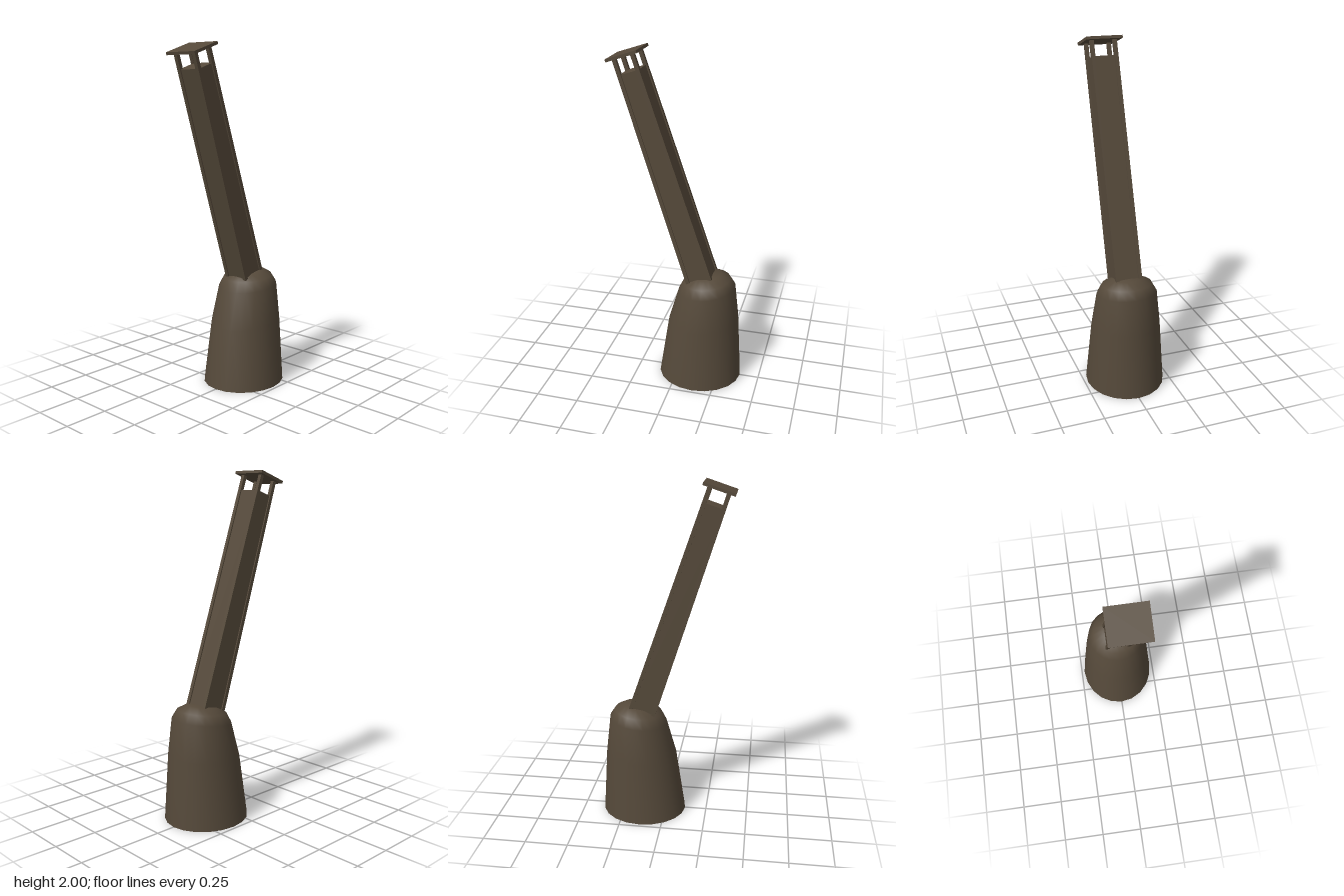
import * as THREE from 'three';
import { mergeVertices } from 'three/addons/utils/BufferGeometryUtils.js';

const SIDES = 20;
const LENGTH = 1.42; // shaft length, partly sunk into the base

// Half width of the shaft in x, at local height y (0 at the cap, negative below)
const halfWidth = (y) => 0.065 - y * 0.0105;

function createBase(material) {
  const base = new THREE.Group();
  base.name = 'base';
  // Rings: centre x, radius x, radius z, height, lean (height change at the +x edge)
  const rings = [
    [0.132, 0.252, 0.232, 0, 0],
    [0.148, 0.213, 0.201, 0.38, 0.02],
    [0.166, 0.17, 0.175, 0.592, 0.02],
    [0.165, 0.14, 0.146, 0.645, 0.015],
    [0.166, 0.085, 0.085, 0.678, 0.012],
    [0.166, 0.001, 0.001, 0.686, 0],
  ];
  const profile = rings.map((r) => new THREE.Vector2(1, r[3]));
  let geometry = new THREE.LatheGeometry(profile, SIDES);
  const p = geometry.attributes.position;
  for (let i = 0; i < p.count; i++) {
    const [cx, rx, rz, y, lean] = rings[i % rings.length];
    const x = p.getX(i), z = p.getZ(i);
    p.setXYZ(i, cx + x * rx, y + x * lean, z * rz);
  }
  geometry.deleteAttribute('uv');
  geometry.deleteAttribute('normal');
  geometry = mergeVertices(geometry, 1e-5);
  geometry.computeVertexNormals();
  const body = new THREE.Mesh(geometry, material);
  body.name = 'baseBody';

  const floorGeometry = new THREE.CircleGeometry(1, SIDES);
  floorGeometry.rotateX(Math.PI / 2).scale(0.252, 1, 0.232).translate(0.132, 0, 0);
  const floor = new THREE.Mesh(floorGeometry, material);
  floor.name = 'baseUnderside';
  base.add(body, floor);
  return base;
}

// Box hanging from local height top, with its x set by a rule on (x, y)
function taperedBox(name, width, depth, top, z, ruleX, material) {
  const height = LENGTH + top;
  const geometry = new THREE.BoxGeometry(width, height, depth);
  geometry.translate(0, top - height / 2, z);
  const p = geometry.attributes.position;
  for (let i = 0; i < p.count; i++) p.setX(i, ruleX(p.getX(i), p.getY(i)));
  geometry.computeVertexNormals();
  const mesh = new THREE.Mesh(geometry, material);
  mesh.name = name;
  return mesh;
}

export function createModel() {
  const model = new THREE.Group();
  model.name = 'leaningChimney';
  const brown = new THREE.MeshStandardMaterial({ color: 0x55493a });
  brown.name = 'dark brown';

  model.add(createBase(brown));

  // Leaning shaft, with its origin under the cap
  const shaft = new THREE.Group();
  shaft.name = 'shaft';
  shaft.position.set(-0.292, 1.955, 0);
  shaft.rotation.z = 0.318;

  // Corner posts running up to the cap
  const post = 0.022;
  for (const sx of [-1, 1]) {
    for (const sz of [-1, 1]) {
      shaft.add(taperedBox('cornerPost', post, post, 0, sz * (0.079 - post / 2),
        (x, y) => x + sx * (halfWidth(y) - post / 2), brown));
    }
  }

  // Recessed core, stopping short to leave openings under the cap
  shaft.add(taperedBox('core', 2, 0.144, -0.088, 0,
    (x, y) => x * (halfWidth(y) - 0.007), brown));

  // Flat cap
  const cap = new THREE.Mesh(new THREE.BoxGeometry(0.184, 0.016, 0.212), brown);
  cap.name = 'cap';
  cap.position.y = 0.008;
  shaft.add(cap);

  model.add(shaft);
  return model;
}
